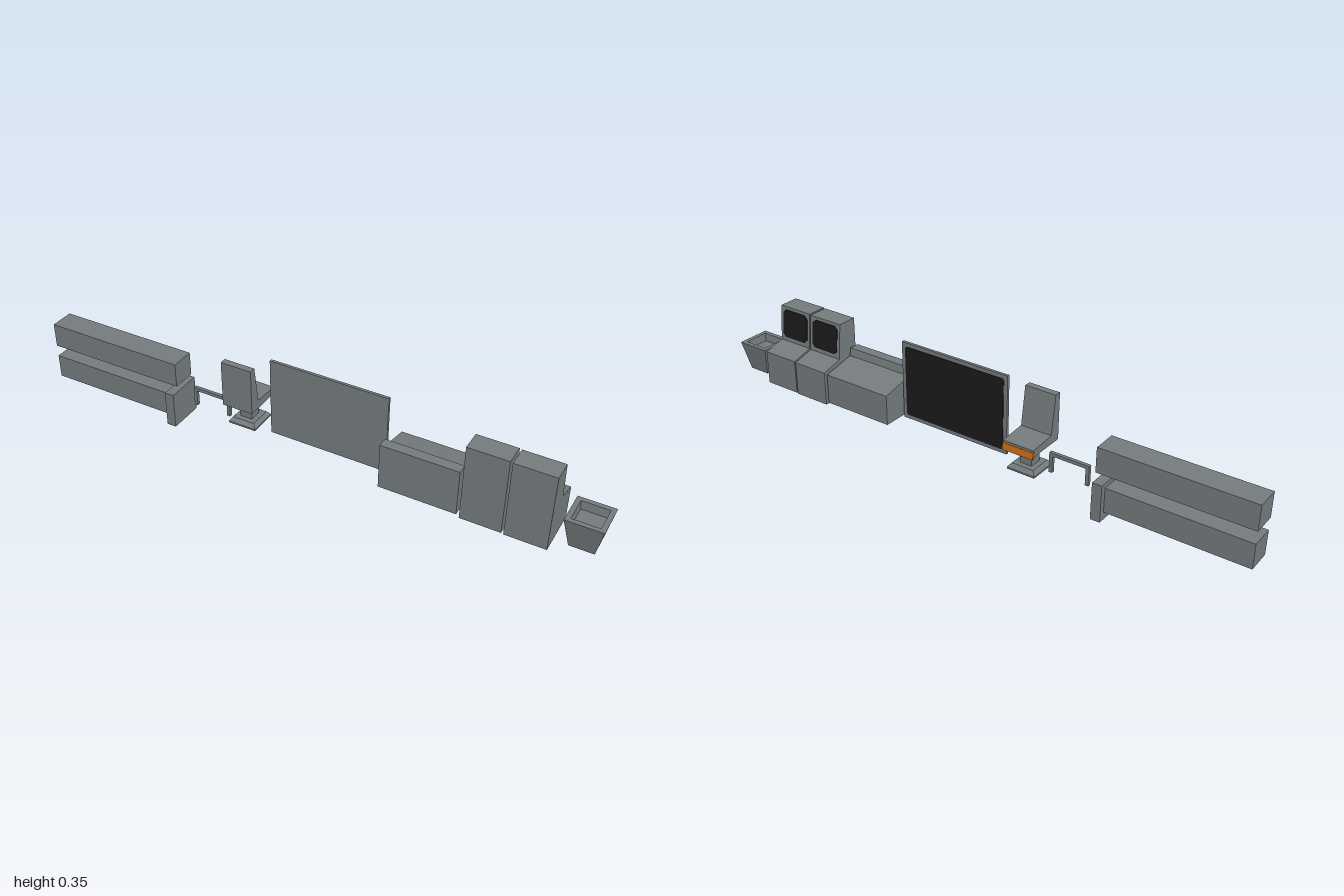
import * as THREE from 'three';

const mat = (name, color) => {
  const m = new THREE.MeshStandardMaterial({ color });
  m.name = name;
  return m;
};

export function createModel() {
  const grey = mat('hull grey', 0x757b7d);
  const black = mat('screen black', 0x1a1a1a);
  const orange = mat('trim orange', 0xc8690f);
  const model = new THREE.Group();

  const add = (name, geo, material = grey, parent = model) => {
    const flat = geo.index ? geo.toNonIndexed() : geo;
    flat.computeVertexNormals();
    const mesh = new THREE.Mesh(flat, material);
    mesh.name = name;
    parent.add(mesh);
    return mesh;
  };
  const group = (name) => {
    const g = new THREE.Group();
    g.name = name;
    model.add(g);
    return g;
  };
  // Box given by its limits on each axis
  const box = (x0, x1, y0, y1, z0, z1) =>
    new THREE.BoxGeometry(x1 - x0, y1 - y0, z1 - z0)
      .translate((x0 + x1) / 2, (y0 + y1) / 2, (z0 + z1) / 2);
  // Side profile of [z, y] points, swept from x0 to x1
  const sweep = (points, x0, x1) =>
    new THREE.ExtrudeGeometry(new THREE.Shape(points.map((p) => new THREE.Vector2(...p))),
      { depth: x1 - x0, bevelEnabled: false }).rotateY(-Math.PI / 2).translate(x1, 0, 0);
  // Square turned profile of [half width, y] points
  const square = (points, x, z) =>
    new THREE.LatheGeometry(points.map(([r, y]) => new THREE.Vector2(r * Math.SQRT2, y)), 4, Math.PI / 4)
      .translate(x, 0, z);
  // Thin panel with clipped corners, facing the back
  const panel = (w, h, c) => {
    const a = w / 2, b = h / 2;
    const s = new THREE.Shape([[-a + c, -b], [a - c, -b], [a, -b + c], [a, b - c],
      [a - c, b], [-a + c, b], [-a, b - c], [-a, -b + c]].map((p) => new THREE.Vector2(...p)));
    return new THREE.ExtrudeGeometry(s, { depth: 0.002, bevelEnabled: false }).rotateY(Math.PI);
  };

  // Pair of long beams with an end block
  const beams = group('beams');
  add('upperBeam', box(-1, -0.484, 0.155, 0.242, -0.04, 0.046), grey, beams);
  add('lowerBeam', box(-1, -0.52, 0.027, 0.113, -0.04, 0.046), grey, beams);
  add('endBlock', box(-0.52, -0.486, 0, 0.13, -0.06, 0.067), grey, beams);

  // Handrail
  const rail = group('handrail');
  add('railBar', box(-0.443, -0.3, 0.131, 0.143, -0.006, 0.006), grey, rail);
  for (const x of [-0.443, -0.312])
    add('railPost', box(x, x + 0.012, 0.072, 0.131, -0.006, 0.006), grey, rail);

  // Chair: seat and back in one profile, on a funnel and square pedestal
  const chair = group('chair');
  const cx = -0.235, cz = -0.016;
  add('seatAndBack', sweep([[0.057, 0.157], [0.057, 0.322], [0.034, 0.322], [0.016, 0.188],
    [-0.083, 0.181], [-0.083, 0.157]], cx - 0.056, cx + 0.056), grey, chair);
  add('seatTrim', sweep([[-0.078, 0.148], [-0.078, 0.173], [-0.084, 0.173], [-0.088, 0.15]],
    cx - 0.0565, cx + 0.0565), orange, chair);
  const funnel = new THREE.BoxGeometry(0.112, 0.03, 0.14);
  const p = funnel.attributes.position;
  for (let i = 0; i < p.count; i++)
    if (p.getY(i) < 0) p.setXYZ(i, p.getX(i) * 0.4, p.getY(i), p.getZ(i) * 0.32);
  add('seatFunnel', funnel.translate(cx, 0.142, -0.013), grey, chair);
  add('pedestal', square([[0, 0.072], [0.051, 0.072], [0.051, 0.078], [0.04, 0.092],
    [0.022, 0.092], [0.022, 0.13]], cx, cz), grey, chair);

  // Large wall screen
  const wall = group('wallScreen');
  add('screenFrame', box(-0.135, 0.285, 0.072, 0.353, 0.001, 0.011), grey, wall);
  add('screenFace', panel(0.392, 0.253, 0.006), black, wall).position.set(0.075, 0.2125, 0.001);

  // Low console
  add('lowConsole', sweep([[0.086, 0.07], [0.086, 0.232], [0.05, 0.232], [0.045, 0.204],
    [-0.075, 0.178], [-0.075, 0.07]], 0.296, 0.56));

  // Two tall consoles with tilted screens
  for (const [x0, dz] of [[0.57, -0.003], [0.714, 0]]) {
    const tall = group('tallConsole');
    add('consoleBody', sweep([[0.089, 0.06], [0.089, 0.33], [0.017, 0.33], [0.004, 0.203],
      [-0.074, 0.182], [-0.074, 0.06]], x0, x0 + 0.136), grey, tall);
    const face = add('consoleScreen', panel(0.114, 0.102, 0.012), black, tall);
    face.position.set(x0 + 0.068, 0.268, 0.0106);
    face.rotation.x = 0.102;
    tall.position.z = dz;
  }

  // Square bin, tapered and hollowed at the top
  add('bin', square([[0, 0.065], [0.04, 0.065], [0.061, 0.171], [0.045, 0.171],
    [0.041, 0.143], [0, 0.143]], 0.938, 0.004));

  return model;
}
